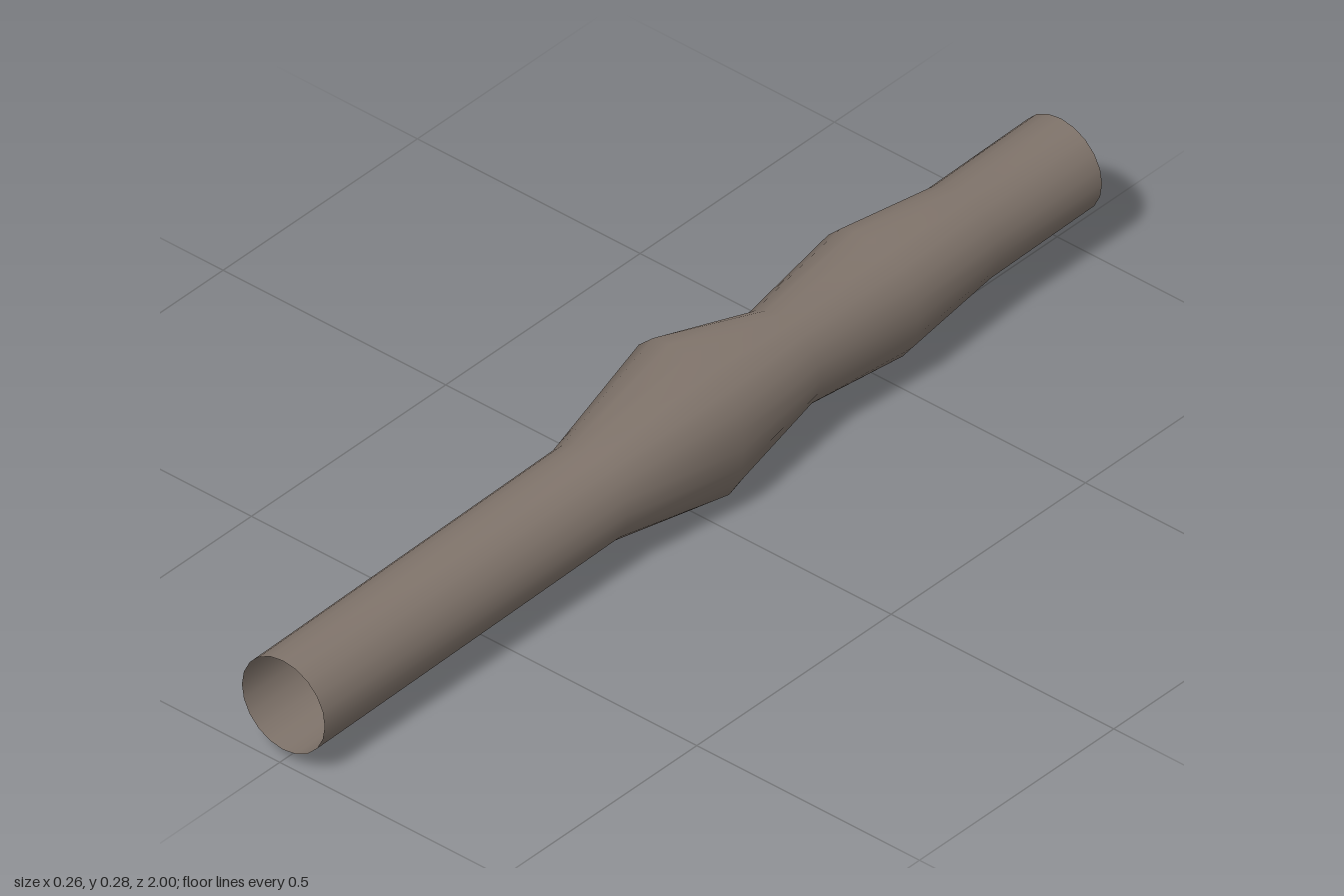
import * as THREE from 'three';

const SIDES = 20;
const RADIUS = 0.093;

// Upper half of the swollen cross-section, right to left, relative to the axis
const SWOLLEN = [
  [0.123, 0], [0.12, 0.039], [0.112, 0.074], [0.091, 0.108], [0.052, 0.131],
  [0, 0.14], [-0.045, 0.142], [-0.08, 0.138], [-0.112, 0.109], [-0.134, 0.054], [-0.141, 0],
];

// Stations along the pipe: [z, amount of swelling]
const STATIONS = [
  [1, 0], [0.22, 0], [-0.043, 1], [-0.275, 0], [-0.51, 0.51], [-0.735, 0], [-1, 0],
];

function pipeGeometry() {
  const positions = [];
  const indices = [];
  STATIONS.forEach(([z, swell], i) => {
    const centreY = 0.1455 - 0.018 * z; // the axis rises gently to the back
    for (let j = 0; j < SIDES; j++) {
      const angle = (j / SIDES) * Math.PI * 2;
      const lower = j > SIDES / 2;
      const [sx, sy] = SWOLLEN[lower ? SIDES - j : j];
      const x = THREE.MathUtils.lerp(RADIUS * Math.cos(angle), sx, swell);
      const y = THREE.MathUtils.lerp(RADIUS * Math.sin(angle), lower ? -sy : sy, swell);
      positions.push(x + 0.008, y + centreY, z);

      // Join this ring to the next, facing outward
      if (i < STATIONS.length - 1) {
        const a = i * SIDES + j;
        const b = i * SIDES + ((j + 1) % SIDES);
        indices.push(a, a + SIDES, b, b, a + SIDES, b + SIDES);
      }
    }
  });
  const geometry = new THREE.BufferGeometry();
  geometry.setAttribute('position', new THREE.Float32BufferAttribute(positions, 3));
  geometry.setIndex(indices);
  geometry.computeVertexNormals();
  return geometry;
}

export function createModel() {
  const group = new THREE.Group();
  group.name = 'bulgedPipe';

  const material = new THREE.MeshStandardMaterial({ color: 0x80746b, side: THREE.DoubleSide });
  material.name = 'warm grey';

  // Open, thin-walled pipe with two swellings
  const pipe = new THREE.Mesh(pipeGeometry(), material);
  pipe.name = 'pipe';
  group.add(pipe);
  return group;
}
